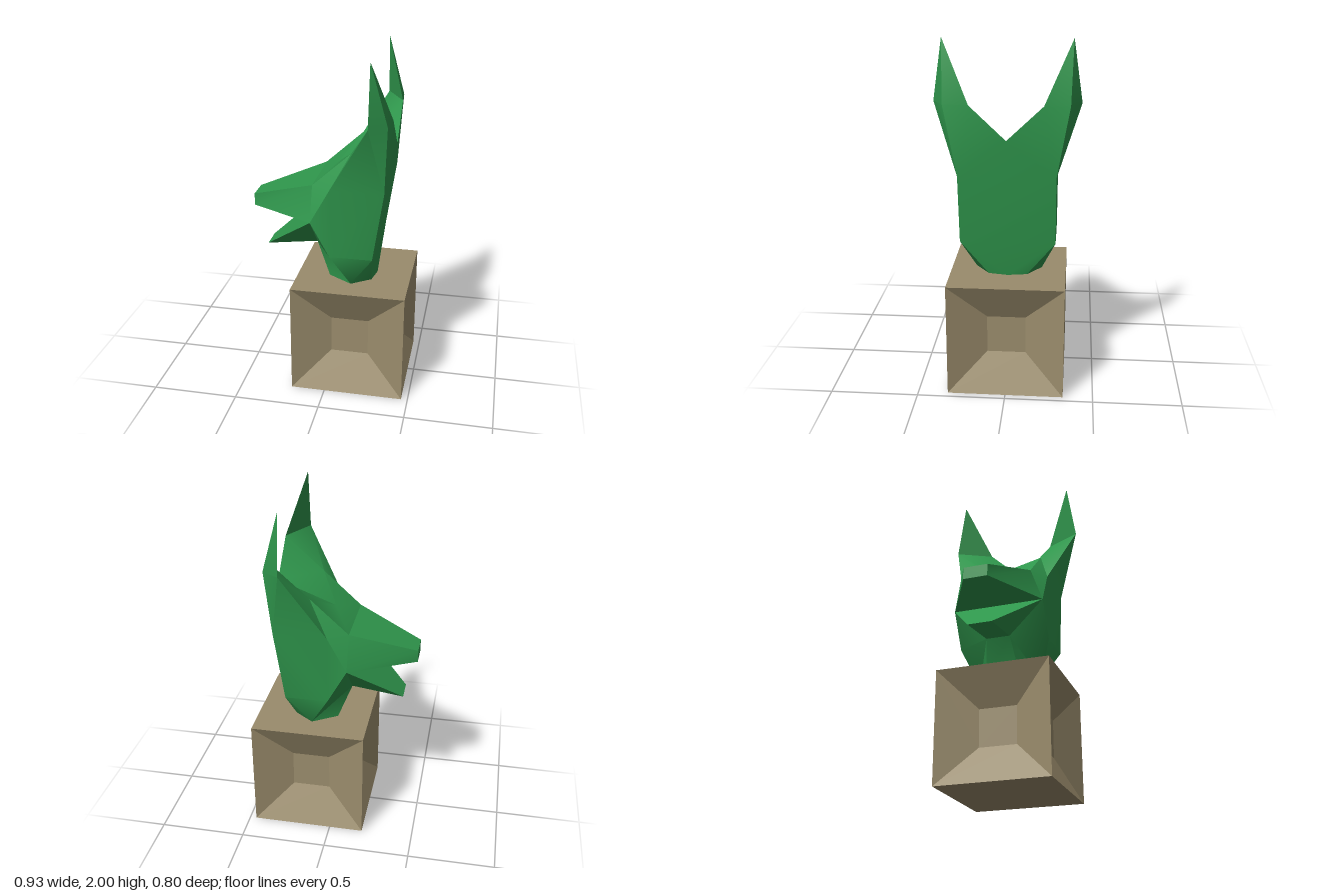
import * as THREE from 'three';
import { toCreasedNormals } from 'three/addons/utils/BufferGeometryUtils.js';

const green = new THREE.MeshStandardMaterial({ color: 0x2f964c });
green.name = 'green';
const stone = new THREE.MeshStandardMaterial({ color: 0x9a8c6c });
stone.name = 'stone';

// Named corners of the +z half of the head; a trailing ' means mirrored to -z
const P = {
  mouth: [-0.09, 1.06, 0.27], throat: [-0.09, 0.86, 0.07], side: [0.02, 0.86, 0.27],
  cheek: [0.02, 1.26, 0.27], snoutTop: [-0.09, 1.26, 0.2], brow: [0.13, 1.46, 0.2],
  mid: [0.02, 1.34, 0], valley: [0.355, 1.47, 0],
  earFront: [0.25, 1.66, 0.4], earBack: [0.345, 1.66, 0.34], earIn: [0.355, 1.66, 0.2], earTip: [0.25, 2, 0.35],
  nape: [0.325, 1.26, 0.27], neckBack: [0.265, 0.86, 0.27],
  footFront: [-0.01, 0.66, 0.1], footSide: [0.13, 0.66, 0.19], footBack: [0.24, 0.66, 0.11], footMid: [0.26, 0.66, 0],
  noseTop: [-0.465, 1.13, 0.07], noseLow: [-0.465, 1.06, 0.07], jawTip: [-0.39, 0.82, 0.07],
};

const flip = (name) => (name.endsWith("'") ? name.slice(0, -1) : name + "'");
const corner = (name) => {
  if (!name.endsWith("'")) return P[name];
  const [x, y, z] = P[name.slice(0, -1)];
  return [x, y, -z];
};

// Fan-triangulates polygons into a mesh with sharp edges above the crease angle
function facesMesh(name, polygons, material, crease) {
  const pos = [];
  for (const p of polygons)
    for (let i = 1; i < p.length - 1; i++) pos.push(...p[0], ...p[i], ...p[i + 1]);
  const geo = new THREE.BufferGeometry();
  geo.setAttribute('position', new THREE.Float32BufferAttribute(pos, 3));
  const mesh = new THREE.Mesh(toCreasedNormals(geo, crease), material);
  mesh.name = name;
  return mesh;
}

// Mirrored faces appear on both sides, centre faces once
function headPart(name, mirrored, centre) {
  const all = [...centre.map((s) => s.split(' '))];
  for (const s of mirrored) {
    const f = s.split(' ');
    all.push(f, f.map(flip).reverse());
  }
  return facesMesh(name, all.map((f) => f.map(corner)), green, 0.6);
}

// Square block with a sloped recess in each of its four sides
function makePedestal() {
  const h = 0.33, r = 0.11, depth = 0.11;
  const signs = [[-1, -1], [1, -1], [1, 1], [-1, 1]];
  const outer = signs.map(([x, y]) => [x * h, y * h, h]);
  const inner = signs.map(([x, y]) => [x * r, y * r, h - depth]);
  const panel = [inner];
  for (let i = 0; i < 4; i++) {
    const j = (i + 1) % 4;
    panel.push([outer[i], outer[j], inner[j], inner[i]]);
  }
  const pedestal = new THREE.Group();
  pedestal.name = 'pedestal';
  for (let k = 0; k < 4; k++) {
    const side = facesMesh('recessedSide', panel, stone, 0.1);
    side.rotation.y = (k * Math.PI) / 2;
    pedestal.add(side);
  }
  for (const s of [1, -1]) {
    const cap = new THREE.Mesh(new THREE.PlaneGeometry(2 * h, 2 * h), stone);
    cap.name = s > 0 ? 'pedestalTop' : 'pedestalBottom';
    cap.rotation.x = (-s * Math.PI) / 2;
    cap.position.y = s * h;
    pedestal.add(cap);
  }
  pedestal.position.set(0.132, h, 0);
  return pedestal;
}

export function createModel() {
  const model = new THREE.Group();
  model.name = 'animalHeadOnPedestal';

  // Skull, ears and neck
  const skull = headPart('skullEarsAndNeck', [
    // cheeks and neck
    'mouth side cheek', 'side nape cheek', 'side neckBack nape', 'mouth throat side',
    'throat footFront footSide', 'throat footSide side', 'side footSide neckBack',
    'footSide footBack neckBack', 'footBack footMid neckBack',
    // brow and forehead
    'mouth cheek snoutTop', 'snoutTop cheek brow', 'snoutTop brow mid', 'brow valley mid',
    // ears
    'cheek nape earFront', 'nape earBack earFront', 'cheek earFront brow',
    'earFront earBack earTip', 'earBack earIn earTip', 'earFront earTip earIn',
    'earFront earIn brow', 'brow earIn valley',
    // back of the head
    'nape earIn earBack', 'nape valley earIn',
  ], [
    "snoutTop mid snoutTop'", "nape nape' valley", "neckBack neckBack' nape' nape",
    "footMid neckBack' neckBack", "throat throat' footFront' footFront",
  ]);

  // Upper muzzle
  const snout = headPart('snout', ['noseLow mouth snoutTop noseTop'], [
    "noseTop snoutTop snoutTop' noseTop'", "noseLow noseTop noseTop' noseLow'",
    "noseLow noseLow' mouth' mouth",
  ]);

  // Open lower jaw
  const jaw = headPart('lowerJaw', ['jawTip throat mouth'], [
    "jawTip mouth mouth' jawTip'", "jawTip jawTip' throat' throat",
  ]);

  model.add(makePedestal(), skull, snout, jaw);
  return model;
}
